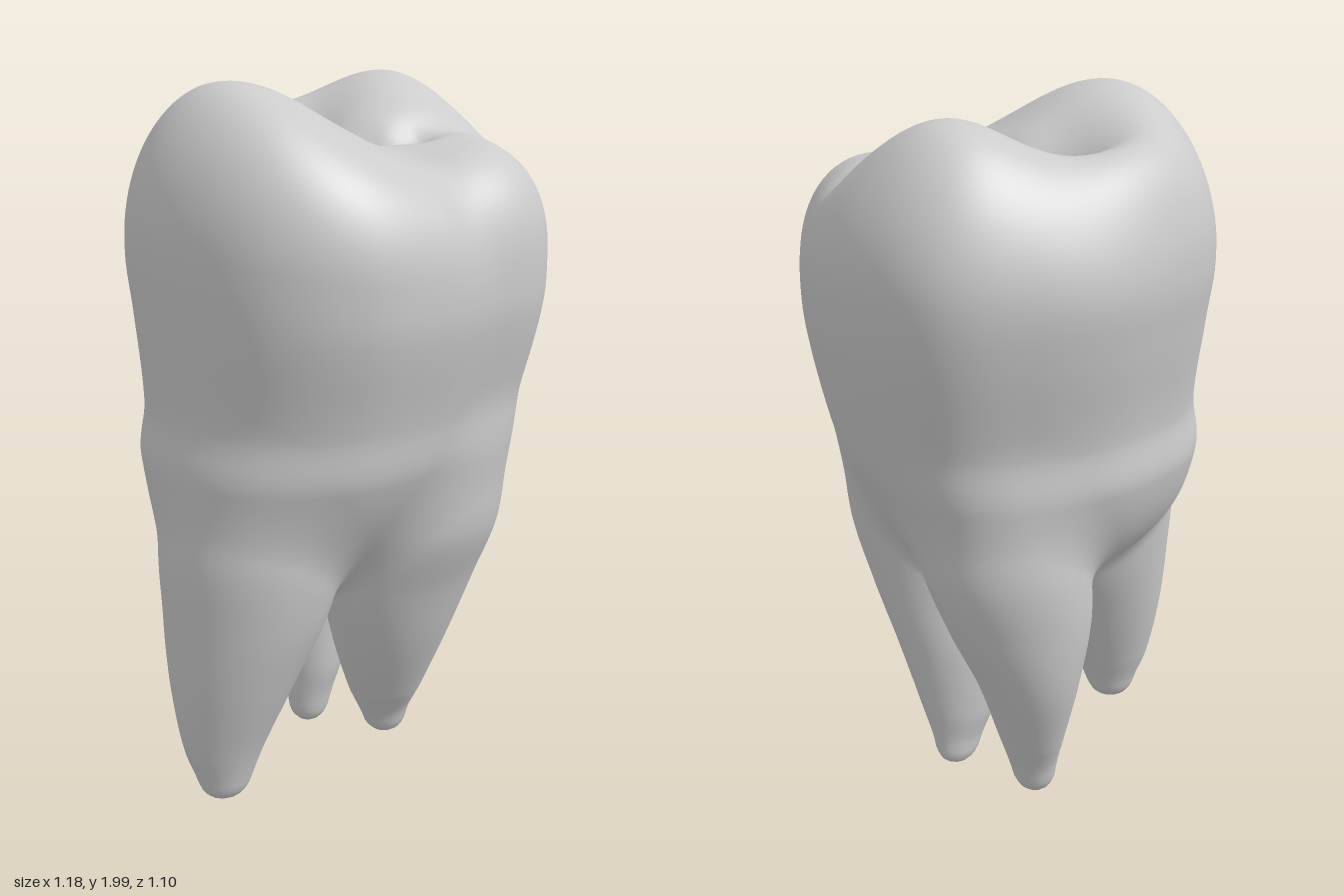
import * as THREE from 'three';

// Smooth (Hermite) lookup in rows of [y, ...values]
function sample(rows, y) {
  const n = rows.length - 1;
  if (y <= rows[0][0]) return rows[0].slice(1);
  if (y >= rows[n][0]) return rows[n].slice(1);
  let i = 0;
  while (y > rows[i + 1][0]) i++;
  const a = rows[i], b = rows[i + 1], p = rows[Math.max(i - 1, 0)], q = rows[Math.min(i + 2, n)];
  const h = b[0] - a[0], t = (y - a[0]) / h, t2 = t * t, t3 = t2 * t;
  return a.slice(1).map((_, j) => {
    const k = j + 1;
    const m0 = (b[k] - p[k]) / (b[0] - p[0]) * h, m1 = (q[k] - a[k]) / (q[0] - a[0]) * h;
    return (2 * t3 - 3 * t2 + 1) * a[k] + (t3 - 2 * t2 + t) * m0 + (3 * t2 - 2 * t3) * b[k] + (t3 - t2) * m1;
  });
}

// Rounded intersection and union of distance fields
const smax = (a, b, k) => {
  const h = Math.max(k - Math.abs(a - b), 0) / k;
  return Math.max(a, b) + h * h * k / 4;
};
const smin = (a, b, k) => -smax(-a, -b, k);

// Crown outline seen from above: radius every 22.5 degrees from +x towards +z
const OUTLINE = [.585, .57, .58, .525, .54, .585, .605, .595, .588, .555, .54, .525, .545, .58, .635, .615];
const outlineRows = [];
for (let i = -2; i <= 18; i++) outlineRows.push([i, OUTLINE[(i + 16) % 16]]);
function outline(x, z) {
  const a = Math.atan2(z, x) / (Math.PI / 8);
  return sample(outlineRows, a < 0 ? a + 16 : a)[0];
}

// Body levels: y, centre x, scale x, centre z, scale z
const BODY = [
  [.55, -.06, .22, 0, .22], [.8, -.07, .71, 0, .65], [1, -.05, .885, .005, .84],
  [1.15, -.018, .92, .012, .87], [1.4, 0, .98, .01, .975], [1.55, 0, 1, 0, 1],
  [1.75, .005, .99, 0, .985], [2.05, .005, .95, 0, .95],
];

// Roots: tip height and levels of y, centre x, centre z, radius x, radius z
const ROOTS = [
  { tip: .035, rows: [
    [0, -.435, .13, .05, .05], [.1, -.43, .13, .08, .07], [.2, -.425, .125, .118, .105],
    [.4, -.392, .125, .178, .175], [.6, -.348, .125, .229, .232], [.8, -.325, .12, .25, .265],
    [1.1, -.295, .11, .23, .26]] },
  { tip: .02, rows: [
    [0, .18, .02, .05, .045], [.1, .165, .033, .075, .058], [.2, .15, .055, .112, .1],
    [.4, .135, .1, .175, .157], [.6, .134, .145, .23, .188], [.8, .16, .18, .247, .225],
    [1.1, .2, .17, .23, .24]] },
  { tip: 0, rows: [
    [0, .025, -.19, .05, .05], [.1, .035, -.195, .07, .07], [.2, .05, -.208, .092, .104],
    [.4, .08, -.243, .142, .148], [.6, .115, -.256, .205, .178], [.8, .155, -.245, .235, .21],
    [1.1, .18, -.21, .23, .22]] },
];

// Cusps, rim and central pit: x, z, height, spread x, spread z
const CUSPS = [
  [-.33, .06, .265, .33, .44], [.3, -.21, .235, .27, .31], [.34, .31, .065, .26, .22],
  [-.15, -.41, .09, .28, .16], [-.04, -.15, -.09, .13, .12],
];
// Grooves: x1, z1, x2, z2, depth, width
const GROOVES = [
  [.05, .03, .2, .09, .035, .05], [.2, .09, .44, .08, .02, .05],
  [-.04, -.15, .06, .04, .035, .06], [.06, .04, .12, .5, .015, .08],
];

const bell = (u, v) => Math.exp(-(u * u + v * v));

function chewingHeight(x, z) {
  let h = 1.73;
  for (const [cx, cz, a, sx, sz] of CUSPS) h += a * bell((x - cx) / sx, (z - cz) / sz);
  for (const [x1, z1, x2, z2, d, w] of GROOVES) {
    const dx = x2 - x1, dz = z2 - z1;
    const t = THREE.MathUtils.clamp(((x - x1) * dx + (z - z1) * dz) / (dx * dx + dz * dz), 0, 1);
    h -= d * bell((x - x1 - t * dx) / w, (z - z1 - t * dz) / w);
  }
  return h;
}

// Signed field of the whole tooth, negative inside
function field(x, y, z) {
  const [cx, sx, cz, sz] = sample(BODY, y);
  const bx = (x - cx) / sx, bz = (z - cz) / sz;
  let body = (Math.hypot(bx, bz) - outline(bx, bz)) * Math.min(sx, sz);
  body = smax(body, (y - chewingHeight(x, z)) / 1.25, .21);
  body = smax(body, .62 - y, .12);
  let roots = 10;
  for (const { tip, rows } of ROOTS) {
    const [rx, rz, a, b] = sample(rows, y);
    let d = (Math.hypot((x - rx) / a, (z - rz) / b) - 1) * Math.min(a, b);
    d = smax(smax(d, tip - y, .06), y - 1.2, .25);
    roots = smin(roots, d, .04);
  }
  return smin(body, roots, .08);
}

function gradient(p, target) {
  const e = .004, { x, y, z } = p;
  return target.set(
    field(x + e, y, z) - field(x - e, y, z),
    field(x, y + e, z) - field(x, y - e, z),
    field(x, y, z + e) - field(x, y, z - e)).divideScalar(2 * e);
}

// Skin the field with one vertex per boundary cell and one quad per crossing
function skin(step) {
  const min = [-.68, -.07, -.65], size = [1.36, 2.16, 1.3].map(s => Math.ceil(s / step) + 1);
  const stride = [1, size[0], size[0] * size[1]];
  const values = new Float32Array(size[0] * size[1] * size[2]);
  const each = (trim, visit) => {
    for (let k = trim; k < size[2] - trim; k++)
      for (let j = trim; j < size[1] - trim; j++)
        for (let i = trim; i < size[0] - trim; i++)
          visit(i, j, k, i + j * stride[1] + k * stride[2]);
  };
  each(0, (i, j, k, id) => {
    values[id] = field(min[0] + i * step, min[1] + j * step, min[2] + k * step);
  });

  const positions = [], normals = [], index = [], cell = new Map();
  const p = new THREE.Vector3(), g = new THREE.Vector3();
  const corner = c => (c & 1) * stride[0] + (c >> 1 & 1) * stride[1] + (c >> 2) * stride[2];
  each(1, (i, j, k, id) => {
    let count = 0;
    p.set(0, 0, 0);
    for (let c = 0; c < 8; c++) for (let bit = 1; bit < 8; bit *= 2) {
      if (c & bit) continue;
      const a = values[id + corner(c)], b = values[id + corner(c | bit)];
      if ((a < 0) === (b < 0)) continue;
      const t = a / (a - b);
      p.x += (c & 1) + (bit === 1 ? t : 0);
      p.y += (c >> 1 & 1) + (bit === 2 ? t : 0);
      p.z += (c >> 2) + (bit === 4 ? t : 0);
      count++;
    }
    if (!count) return;
    p.divideScalar(count);
    p.set(min[0] + (i + p.x) * step, min[1] + (j + p.y) * step, min[2] + (k + p.z) * step);
    // Pull the vertex onto the exact surface
    for (let n = 0; n < 2; n++) {
      gradient(p, g);
      const move = -field(p.x, p.y, p.z) / Math.max(g.lengthSq(), .2);
      p.add(g.multiplyScalar(move).clampLength(0, step * .5));
    }
    gradient(p, g).normalize();
    cell.set(id, positions.length / 3);
    positions.push(p.x, p.y, p.z);
    normals.push(g.x, g.y, g.z);
  });

  each(2, (i, j, k, id) => {
    for (let a = 0; a < 3; a++) {
      const inside = values[id] < 0;
      if (inside === (values[id + stride[a]] < 0)) continue;
      const u = stride[(a + 1) % 3], v = stride[(a + 2) % 3];
      const q = [id, id - u, id - u - v, id - v].map(n => cell.get(n));
      if (!inside) q.reverse();
      index.push(q[0], q[1], q[2], q[0], q[2], q[3]);
    }
  });

  const geometry = new THREE.BufferGeometry();
  geometry.setAttribute('position', new THREE.Float32BufferAttribute(positions, 3));
  geometry.setAttribute('normal', new THREE.Float32BufferAttribute(normals, 3));
  geometry.setIndex(index);
  return geometry;
}

export function createModel() {
  const model = new THREE.Group();
  model.name = 'molarTooth';
  const tooth = new THREE.Mesh(skin(.022), new THREE.MeshStandardMaterial({ color: 0xcccccc }));
  tooth.name = 'crownAndRoots';
  model.add(tooth);
  return model;
}
